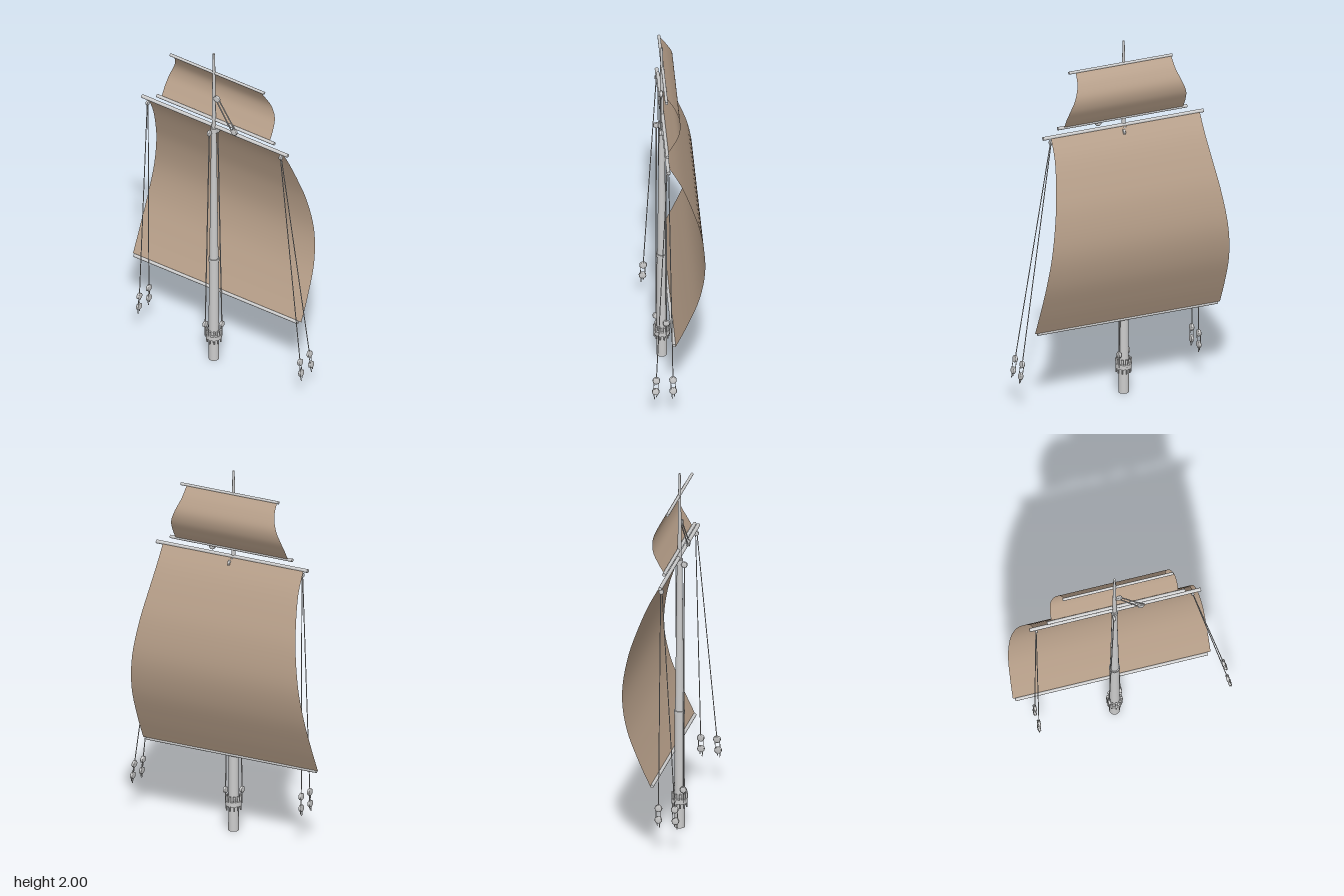
import * as THREE from 'three';

const V = (x, y, z) => new THREE.Vector3(x, y, z);
const UP = V(0, 1, 0);
const MX = -0.04, MZ = 0.05; // mast axis

export function createModel() {
  const model = new THREE.Group();
  const grey = new THREE.MeshStandardMaterial({ color: 0xcccccc });
  const cloth = new THREE.MeshStandardMaterial({ color: 0xb8a08a, side: THREE.DoubleSide });

  const add = (name, geo, parent = model, mat = grey) => {
    const m = new THREE.Mesh(geo, mat);
    m.name = name;
    parent.add(m);
    return m;
  };
  // Round bar between two points
  const bar = (name, a, b, ra, rb = ra, sides = 12, parent = model) => {
    const m = add(name, new THREE.CylinderGeometry(rb, ra, a.distanceTo(b), sides), parent);
    m.position.copy(a).lerp(b, 0.5);
    m.quaternion.setFromUnitVectors(UP, b.clone().sub(a).normalize());
    return m;
  };
  // Grooved pulley block, its flat sides facing local x
  const block = (name, r, width, parent = model) => {
    const w = width / 2;
    const profile = [[0, -w], [r * 0.8, -w], [r, -w * 0.6], [r * 0.85, 0], [r, w * 0.6], [r * 0.8, w], [0, w]];
    const geo = new THREE.LatheGeometry(profile.map(p => new THREE.Vector2(...p)), 14);
    return add(name, geo.rotateZ(Math.PI / 2), parent);
  };

  // Mast, from the foot to the pole
  const mast = new THREE.Group();
  mast.name = 'mast';
  mast.position.set(MX, 0, MZ);
  model.add(mast);
  bar('lowerMast', V(0, 0, 0), V(0, 0.65, 0), 0.028, 0.026, 20, mast);
  bar('upperMast', V(0, 0.65, 0), V(0, 1.52, 0), 0.024, 0.014, 20, mast);
  bar('topmast', V(0, 1.45, 0), V(0, 1.87, 0), 0.012, 0.008, 14, mast);
  bar('pole', V(0, 1.87, 0), V(0, 2, 0), 0.008, 0.006, 14, mast);
  bar('mastBand', V(0, 0.64, 0), V(0, 0.66, 0), 0.029, 0.029, 20, mast);
  bar('mastCap', V(0, 1.485, 0), V(0, 1.515, 0), 0.019, 0.019, 16, mast);

  // Pin rail around the mast foot
  bar('pinRail', V(0, 0.14, 0), V(0, 0.165, 0), 0.043, 0.043, 20, mast);
  for (let i = 0; i < 10; i++) {
    const a = (i + 0.5) / 10 * Math.PI * 2, x = Math.cos(a) * 0.038, z = Math.sin(a) * 0.038;
    bar('belayingPin', V(x, 0.115, z), V(x, 0.195, z), 0.004, 0.007, 8, mast);
  }

  // Yards: name, left end, right end, y, z, radius
  for (const [name, x0, x1, y, z, r] of [
    ['topsailUpperYard', -0.32, 0.28, 1.872, 0.046, 0.008],
    ['topsailLowerYard', -0.405, 0.345, 1.567, 0.046, 0.009],
    ['mainUpperYard', -0.5, 0.43, 1.524, 0.046, 0.01],
    ['mainLowerYard', -0.57, 0.475, 0.43, 0.018, 0.009],
  ]) bar(name, V(x0, y, z), V(x1, y, z), r, r, 14);

  // Billowed sail from a spline of (half width, y, z)
  const sail = (name, cx, points) => {
    const curve = new THREE.CatmullRomCurve3(points.map(p => V(...p)));
    const geo = new THREE.PlaneGeometry(2, 1, 10, 28);
    const pos = geo.attributes.position;
    for (let i = 0; i < pos.count; i++) {
      const p = curve.getPointAt(THREE.MathUtils.clamp(0.5 - pos.getY(i), 0, 1));
      pos.setXYZ(i, cx + pos.getX(i) * p.x, p.y, p.z);
    }
    geo.computeVertexNormals();
    add(name, geo, model, cloth);
  };
  sail('mainSail', -0.045, [
    [0.432, 1.522, 0.038], [0.436, 1.42, -0.018], [0.455, 1.28, -0.075], [0.48, 1.13, -0.122],
    [0.511, 0.93, -0.146], [0.53, 0.75, -0.118], [0.536, 0.57, -0.05], [0.537, 0.435, 0.012],
  ]);
  sail('topsail', -0.035, [
    [0.277, 1.87, 0.04], [0.285, 1.81, 0.002], [0.312, 1.74, -0.026],
    [0.336, 1.68, -0.02], [0.345, 1.62, 0.01], [0.345, 1.572, 0.038],
  ]);

  // Brace: rope from a yard end to a pair of blocks with a loose tail
  const brace = (from, to) => {
    const g = new THREE.Group();
    g.name = 'brace';
    g.position.copy(to);
    g.quaternion.setFromUnitVectors(UP, from.clone().sub(to).normalize());
    model.add(g);
    const len = from.distanceTo(to);
    bar('braceRope', V(0, 0.12, 0), V(0, len, 0), 0.0025, 0.0025, 6, g);
    for (const y of [0.045, 0.11]) block('braceBlock', 0.02, 0.016, g).position.y = y;
    for (const s of [-1, 1]) {
      bar('lanyard', V(s * 0.004, 0.045, s * 0.012), V(s * 0.004, 0.11, s * 0.012), 0.002, 0.002, 6, g);
      bar('ropeTail', V(0, 0.04, s * 0.01), V(0, s > 0 ? 0 : 0.012, s * 0.005), 0.0025, 0.0025, 6, g);
    }
  };
  for (const [topX, footX] of [[-0.465, -0.468], [0.385, 0.573]]) {
    block('yardBlock', 0.014, 0.014).position.set(topX, 1.495, 0.046);
    brace(V(topX, 1.49, 0.05), V(footX, 0.158, 0.125));
    brace(V(topX, 1.49, 0.042), V(footX, 0.158, 0.03));
  }

  // Halyards running down beside the mast
  for (const [s, z] of [[-1, 0.078], [1, 0.028]]) {
    const top = V(MX + s * 0.01, 1.49, z), foot = V(MX + s * 0.036, 0.225, z);
    block('halyardTopBlock', 0.017, 0.014).position.copy(top);
    block('halyardFootBlock', 0.018, 0.016).position.copy(foot);
    bar('halyard', foot, top, 0.003, 0.003, 6);
    bar('halyardTail', V(foot.x, 0.15, z), foot, 0.003, 0.003, 6);
  }

  // Topsail tackle, slanting from the topmast to the lower yard
  const high = V(-0.017, 1.715, 0.055), low = V(0.1, 1.553, 0.066);
  for (const p of [high, low]) {
    const b = block('tackleBlock', 0.019, 0.016);
    b.position.copy(p);
    b.rotation.y = Math.PI / 2;
  }
  for (const s of [-1, 1]) {
    const d = V(s * 0.011, s * 0.008, 0);
    bar('tackleRope', low.clone().add(d), high.clone().addScaledVector(d, 0.7), 0.0035, 0.0035, 6);
  }
  bar('tackleStrop', V(MX, 1.73, MZ), high, 0.004, 0.004, 6);

  return model;
}
